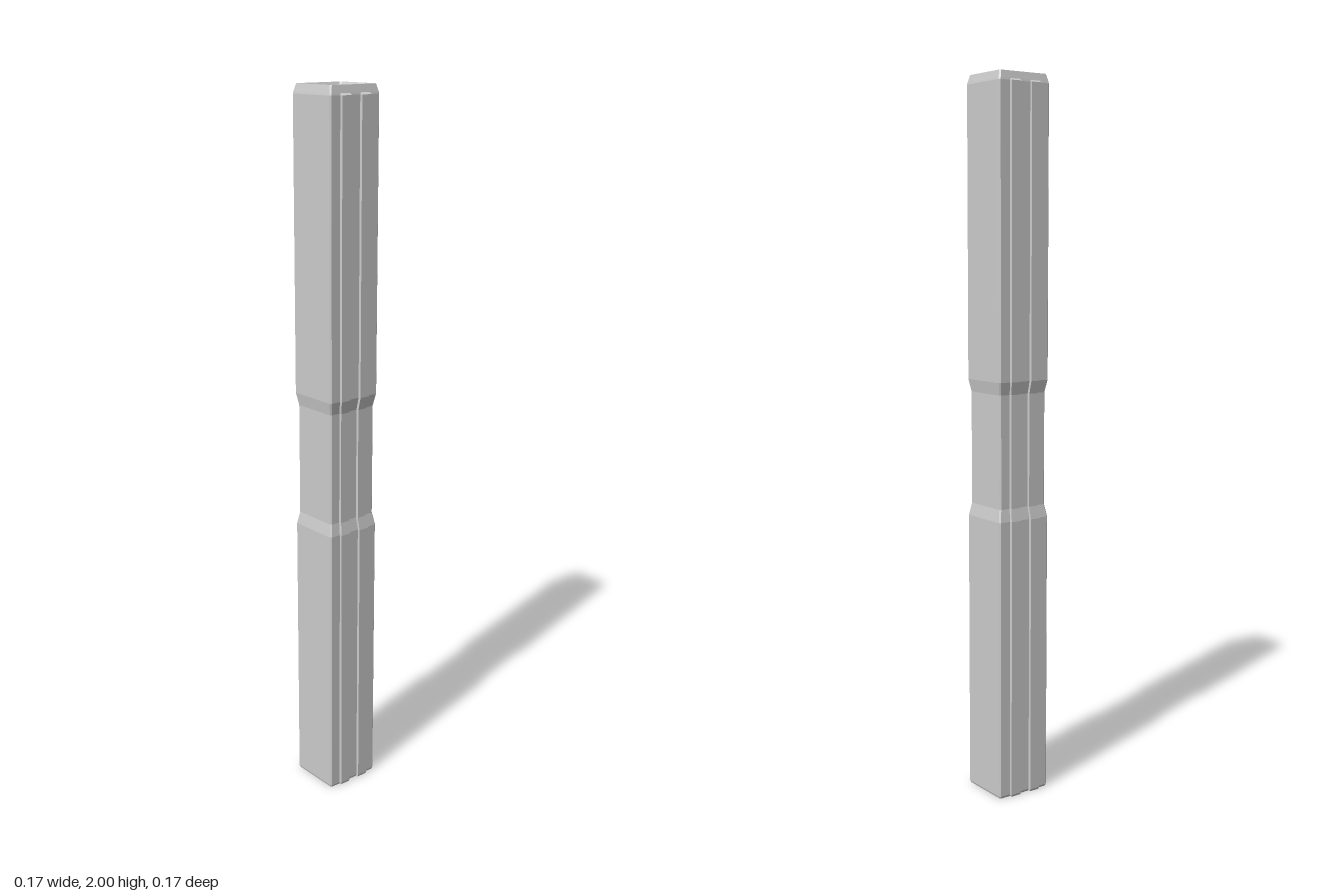
import * as THREE from 'three';

// Rectangular outline with two raised ribs on the front and back faces
function section([y, hx, hz, rib]) {
  const k = hx / 0.083, bevel = 0.004;
  const front = [[-hx, hz - bevel], [-hx + bevel, hz]];
  for (const c of [-0.034, 0.032]) {
    front.push([(c - 0.0165) * k, hz], [(c - 0.0155) * k, hz + rib],
      [(c + 0.0155) * k, hz + rib], [(c + 0.0165) * k, hz]);
  }
  front.push([hx - bevel, hz], [hx, hz - bevel]);
  const back = front.map(([x, z]) => [x, -z]).reverse();
  return [...front, ...back].map(([x, z]) => [x, y, z]);
}

// Skin between successive sections, closed at both ends
function loft(rows) {
  const rings = rows.map(section);
  const n = rings[0].length, pos = [];
  const tri = (a, b, c) => pos.push(...a, ...b, ...c);
  for (let i = 0; i < rings.length - 1; i++) {
    for (let j = 0; j < n; j++) {
      const k = (j + 1) % n;
      const a = rings[i][j], b = rings[i][k], c = rings[i + 1][k], d = rings[i + 1][j];
      tri(a, b, c);
      tri(a, c, d);
    }
  }
  const last = rings.length - 1;
  const low = [0, rows[0][0], 0], high = [0, rows[last][0], 0];
  for (let j = 0; j < n; j++) {
    const k = (j + 1) % n;
    tri(rings[0][k], rings[0][j], low);
    tri(rings[last][j], rings[last][k], high);
  }
  const g = new THREE.BufferGeometry();
  g.setAttribute('position', new THREE.Float32BufferAttribute(pos, 3));
  g.computeVertexNormals();
  return g;
}

export function createModel() {
  const group = new THREE.Group();
  group.name = 'column';
  const material = new THREE.MeshStandardMaterial({ color: 0xcccccc, flatShading: true });

  // Each row: height, half width, half depth, rib height
  const shaft = new THREE.Mesh(loft([
    [0, 0.081, 0.075, 0.007],
    [0.006, 0.083, 0.077, 0.007],
    [0.795, 0.083, 0.077, 0.007],
    // narrowed waist
    [0.83, 0.077, 0.07, 0.007],
    [1.145, 0.077, 0.07, 0.007],
    [1.18, 0.083, 0.077, 0.007],
    [1.975, 0.083, 0.077, 0.007],
    // chamfered rim, above the ends of the ribs
    [1.98, 0.082, 0.076, 0],
    [2, 0.077, 0.071, 0],
    [2, 0.073, 0.067, 0],
    // stepped recess in the top
    [1.98, 0.063, 0.057, 0],
    [1.978, 0.06, 0.054, 0],
    [1.95, 0.047, 0.042, 0],
  ]), material);
  shaft.name = 'ribbedShaft';
  group.add(shaft);
  return group;
}
